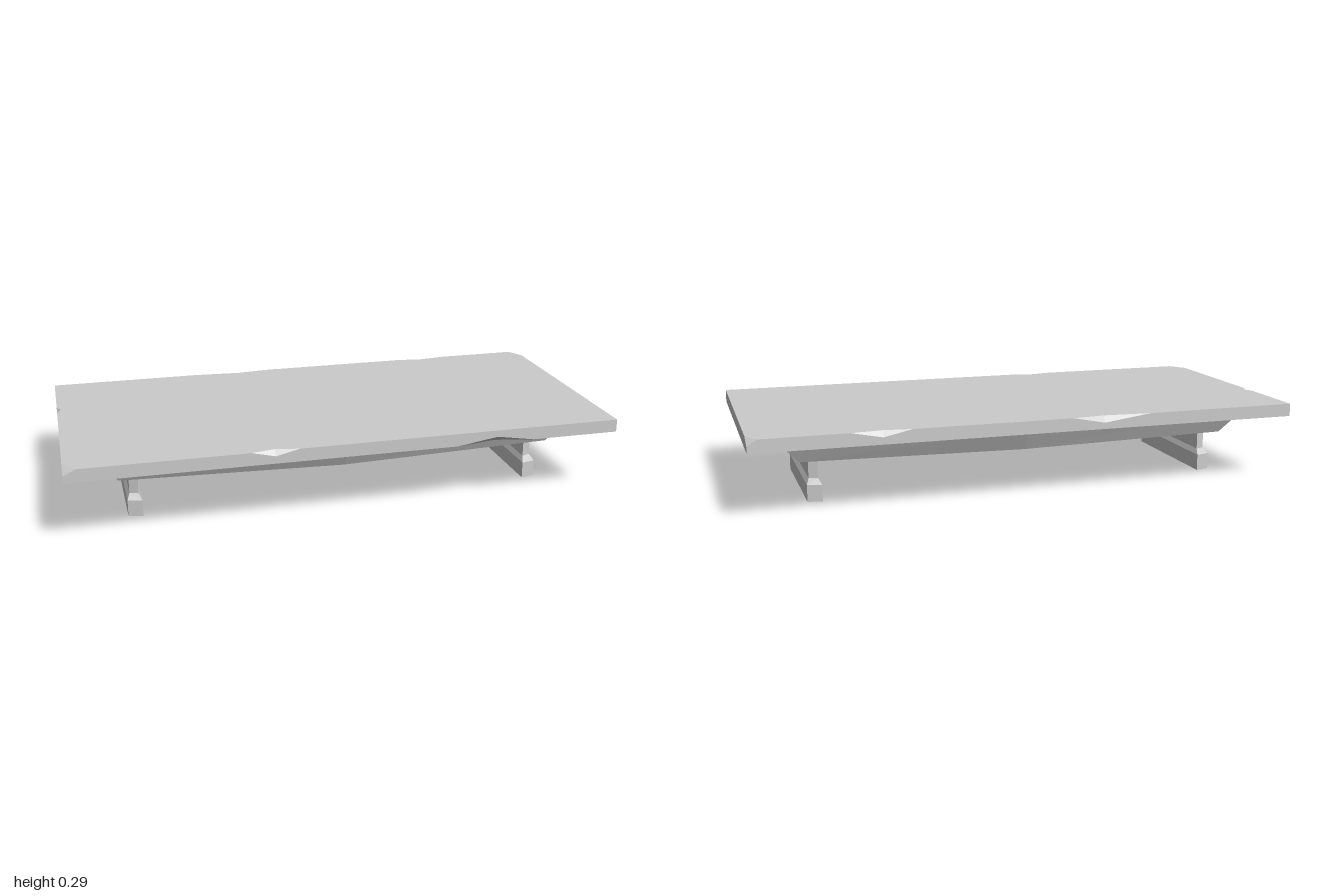
import * as THREE from 'three';

const material = new THREE.MeshStandardMaterial({ color: 0xcccccc, flatShading: true });
const V = (x, y, z) => new THREE.Vector3(x, y, z);

// Collects flat polygons, each turned to face a given outward direction
class Faces {
  constructor() { this.positions = []; }
  tri(a, b, c, out) {
    const n = b.clone().sub(a).cross(c.clone().sub(a));
    const order = n.dot(out) < 0 ? [a, c, b] : [a, b, c];
    order.forEach((p) => this.positions.push(p.x, p.y, p.z));
  }
  polygon(points, out) {
    const flat = points.map((p) => {
      if (Math.abs(out.y) > 0.5) return new THREE.Vector2(p.x, p.z);
      return new THREE.Vector2(Math.abs(out.x) > 0.5 ? p.z : p.x, p.y);
    });
    for (const [i, j, k] of THREE.ShapeUtils.triangulateShape(flat, [])) {
      this.tri(points[i], points[j], points[k], out);
    }
  }
  mesh(name) {
    const g = new THREE.BufferGeometry();
    g.setAttribute('position', new THREE.Float32BufferAttribute(this.positions, 3));
    g.computeVertexNormals();
    const m = new THREE.Mesh(g, material);
    m.name = name;
    return m;
  }
}

// Solid through stacked rings of equal point count, closed at both ends
function loft(name, rings) {
  const f = new Faces();
  const n = rings[0].length;
  for (let r = 0; r < rings.length - 1; r++) {
    const lo = rings[r], hi = rings[r + 1];
    const mid = lo.reduce((s, p) => s.add(p), V(0, 0, 0)).divideScalar(n);
    for (let i = 0; i < n; i++) {
      const j = (i + 1) % n;
      const out = lo[i].clone().add(lo[j]).multiplyScalar(0.5).sub(mid);
      f.tri(lo[i], lo[j], hi[j], out);
      f.tri(lo[i], hi[j], hi[i], out);
    }
  }
  f.polygon(rings[0], V(0, -1, 0));
  f.polygon(rings[rings.length - 1], V(0, 1, 0));
  return f.mesh(name);
}

// Slab with chipped edges and two broken corners
function makeSlab() {
  const T = 0.287, B = 0.24, H = 0.463, C = 0.265;
  const f = new Faces();
  const top = [], bottom = [];

  // A chip is [start, apex, end, depth, drop] along an edge
  const sides = [
    { out: V(0, 0, 1), at: (t, y, d) => V(t, y, H - d), from: -1, to: 1, startCut: -0.955,
      chipsTop: [[-0.37, -0.285, -0.2, 0.018, 0.02]], chipsBottom: [[0.38, 0.53, 0.67, 0.03, 0.023]] },
    { out: V(1, 0, 0), at: (t, y, d) => V(1 - d, y, t), from: H, to: -H, endCut: -0.4,
      chipsTop: [], chipsBottom: [] },
    { out: V(0, 0, -1), at: (t, y, d) => V(t, y, -H + d), from: 1, to: -1, startCut: 0.965,
      chipsTop: [[0.66, 0.55, 0.45, 0.013, 0.022], [-0.13, -0.25, -0.43, 0.013, 0.024]], chipsBottom: [] },
    { out: V(-1, 0, 0), at: (t, y, d) => V(-1 + d, y, t), from: -H, to: H, endCut: 0.4,
      chipsTop: [[-0.18, -0.155, -0.12, 0.015, 0.025]], chipsBottom: [] },
  ];

  for (const s of sides) {
    const walk = (chips, y, sign, plan) => {
      const edge = [];
      for (const [a, m, b, depth, drop] of chips) {
        const A = s.at(a, y, 0), E = s.at(b, y, 0);
        const inner = s.at(m, y, depth), face = s.at(m, y + sign * drop, 0);
        edge.push(A, face, E);
        plan.push(A, inner, E);
        f.tri(A, inner, face, E.clone().sub(A));
        f.tri(E, inner, face, A.clone().sub(E));
      }
      return edge;
    };
    const upper = [];
    if (s.startCut !== undefined) {
      upper.push(s.at(s.from, C, 0), s.at(s.startCut, T, 0));
      top.push(s.at(s.startCut, T, 0));
    } else {
      upper.push(s.at(s.from, T, 0));
      top.push(s.at(s.from, T, 0));
    }
    upper.push(...walk(s.chipsTop, T, -1, top));
    if (s.endCut !== undefined) {
      upper.push(s.at(s.endCut, T, 0), s.at(s.to, C, 0));
      top.push(s.at(s.endCut, T, 0));
    } else {
      upper.push(s.at(s.to, T, 0));
    }
    bottom.push(s.at(s.from, B, 0));
    const lower = [s.at(s.from, B, 0), ...walk(s.chipsBottom, B, 1, bottom), s.at(s.to, B, 0)];
    f.polygon([...upper, ...lower.reverse()], s.out);
  }
  f.polygon(top, V(0, 1, 0));
  f.polygon(bottom, V(0, -1, 0));

  // Broken corners
  f.tri(V(-0.955, T, H), V(-1, T, 0.4), V(-1, C, H), V(-1, 1, 1));
  f.tri(V(0.965, T, -H), V(1, T, -0.4), V(1, C, -H), V(1, 1, -1));
  return f.mesh('slab');
}

export function createModel() {
  const group = new THREE.Group();
  group.add(makeSlab());

  // Tapered underside, slightly wider at the middle of its length
  const hexagon = (y, x, zEnd, zMid) => [
    V(-x, y, zEnd), V(0, y, zMid), V(x, y, zEnd),
    V(x, y, -zEnd), V(0, y, -zMid), V(-x, y, -zEnd),
  ];
  group.add(loft('underside', [hexagon(0.152, 0.81, 0.27, 0.32), hexagon(0.24, 0.89, 0.31, 0.367)]));

  // Legs: upright on a wider foot, a little shorter on the outer side
  const profile = [[0, 0.026, 0.256], [0.061, 0.026, 0.256], [0.079, 0.016, 0.229], [0.153, 0.016, 0.229]];
  for (const side of [1, -1]) {
    const rings = profile.map(([y, w, z]) => {
      const inner = side * (0.757 - w), outer = side * (0.757 + w), zo = z - 0.013;
      return [V(inner, y, z), V(outer, y, zo), V(outer, y, -zo), V(inner, y, -z)];
    });
    group.add(loft(side > 0 ? 'leftLeg' : 'rightLeg', rings));
  }
  return group;
}
